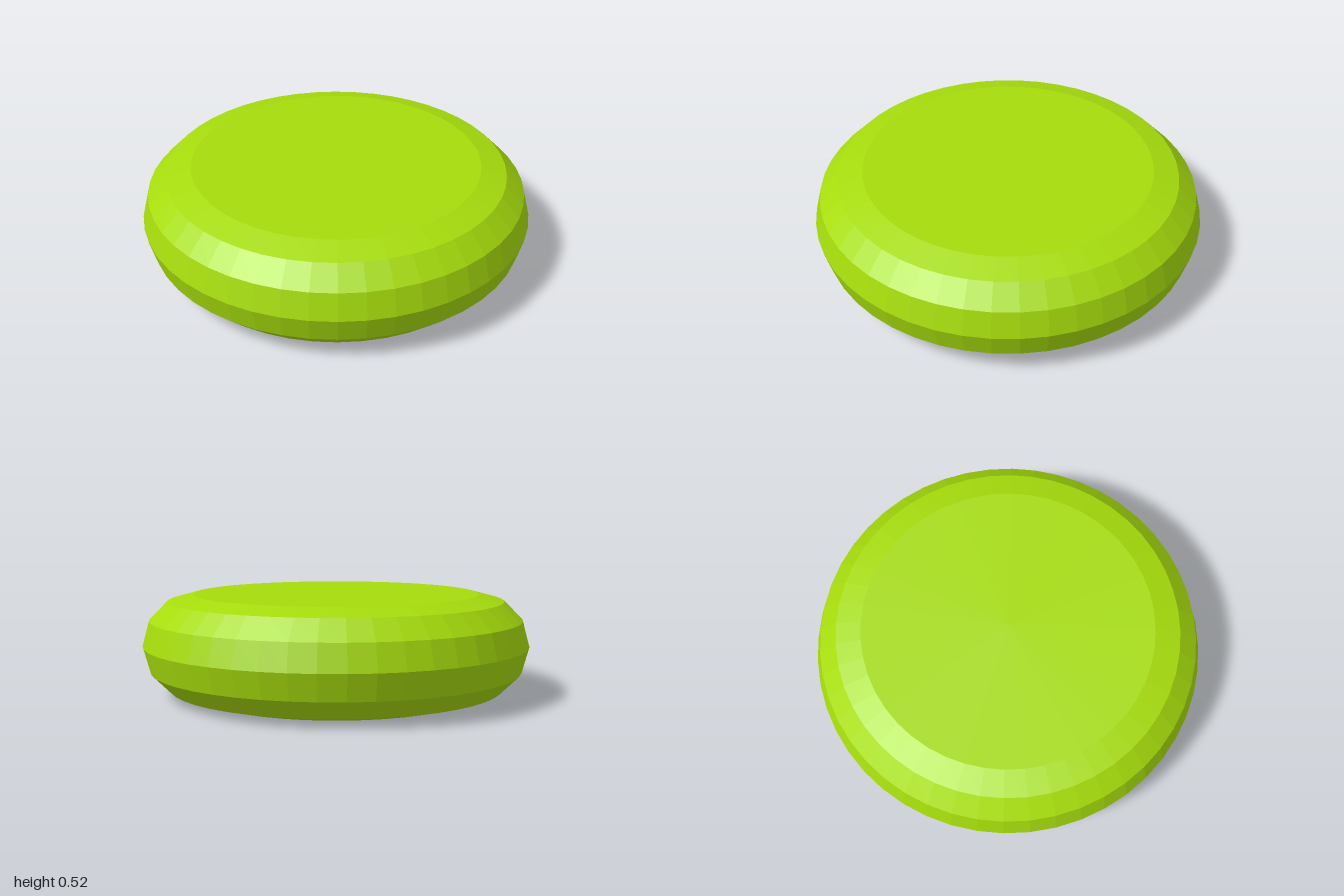
import * as THREE from 'three';

export function createModel() {
  const group = new THREE.Group();
  const material = new THREE.MeshStandardMaterial({ color: 0xa6dc0c, flatShading: true });
  const ringRadius = 0.74, tubeRadius = 0.26, segments = 48;

  // Rounded rim: from the inner lip underneath, around the outside, to the flat top
  const rim = [];
  for (let i = -4; i <= 3; i++) {
    const a = (i * Math.PI) / 6;
    rim.push(new THREE.Vector2(
      ringRadius + tubeRadius * Math.cos(a),
      tubeRadius + tubeRadius * Math.sin(a)
    ));
  }
  const body = new THREE.Mesh(new THREE.LatheGeometry(rim, segments), material);
  body.name = 'roundedRim';
  group.add(body);

  // Flat discs closing the top and the slightly recessed underside
  const addDisc = (name, edge, facing) => {
    const disc = new THREE.Mesh(new THREE.CircleGeometry(edge.x, segments), material);
    disc.name = name;
    disc.rotation.x = -facing * Math.PI / 2;
    disc.position.y = edge.y;
    group.add(disc);
  };
  addDisc('topDisc', rim[rim.length - 1], 1);
  addDisc('recessedBase', rim[0], -1);

  return group;
}
